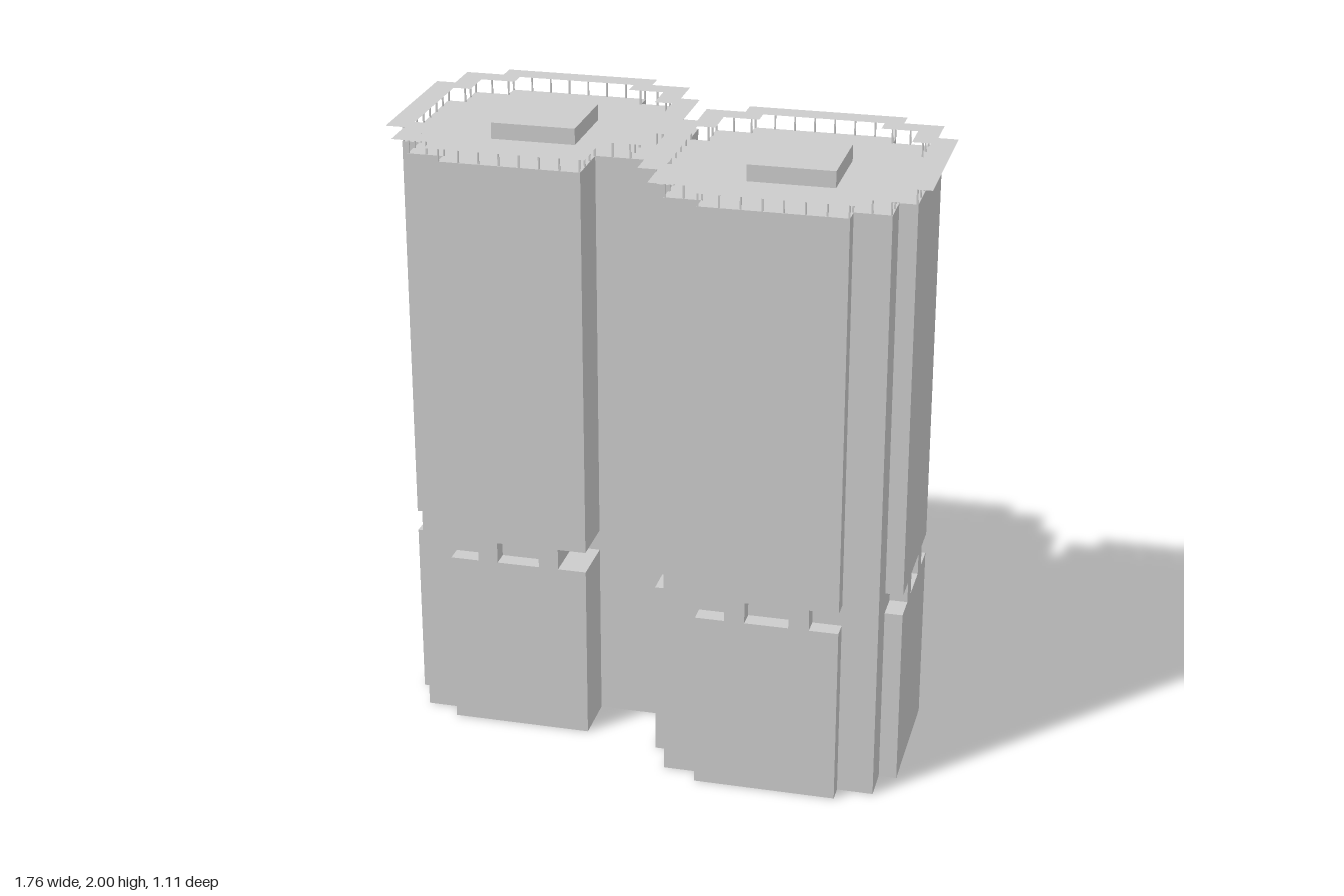
import * as THREE from 'three';

const mat = new THREE.MeshStandardMaterial({ color: 0xcccccc, side: THREE.DoubleSide, flatShading: true });
const CX = 0.436, CZ = 0.11;               // tower centres at +-(CX, CZ)
const SILL = 0.59, HEAD = 0.66, DECK = 1.945, TOP = 2;
const WALL = [0.228, 0.343, 0.4];          // half widths: bay, corner, bay face
const OUTER = [0.255, 0.382, 0.445];
const INNER = [0.195, 0.31, 0.368];
const PIER = [0.07, 0.135];                // piers standing in the open band

// local side coordinates (t along, d outwards) to plan (x, z); sides run front, right, back, left
const toPlan = (side, t, d) => [[t, d], [d, -t], [-t, -d], [-d, t]][side];

// stepped plan; piers = true gives the recessed band, notch cuts the front right corner deeper
function outline([s, m, d], notch, piers = false) {
  const pts = [], n = 2 * s - m;
  for (let side = 0; side < 4; side++) {
    const cutEnd = notch && side === 0, cutStart = notch && side === 1;
    const start = cutStart ? n : s, back = cutEnd ? s : m;
    let run;
    if (piers) {
      const [a, b] = PIER, b0 = Math.min(b, start);
      run = [[-b0, m], [-b0, d], [-a, d], [-a, m], [a, m], [a, d], [b, d], [b, back]];
    } else run = [[-start, m], [-start, d], [s, d], [s, back]];
    run.push([m, back]);
    run.forEach(([t, o]) => pts.push(toPlan(side, t, o)));
  }
  return pts;
}

function walls(pts, y0, y1) {
  const pos = [];
  pts.forEach(([x, z], i) => {
    const [u, w] = pts[(i + 1) % pts.length];
    pos.push(x, y0, z, u, y0, w, u, y1, w, x, y0, z, u, y1, w, x, y1, z);
  });
  const geo = new THREE.BufferGeometry();
  geo.setAttribute('position', new THREE.Float32BufferAttribute(pos, 3));
  geo.computeVertexNormals();
  return geo;
}

function slab(pts, y, hole) {
  const path = p => p.map(([x, z]) => new THREE.Vector2(x, -z));
  const shape = new THREE.Shape(path(pts));
  if (hole) shape.holes.push(new THREE.Path(path(hole)));
  return new THREE.ShapeGeometry(shape).rotateX(-Math.PI / 2).translate(0, y, 0);
}

function add(group, name, geo) {
  const mesh = new THREE.Mesh(geo, mat);
  mesh.name = name;
  group.add(mesh);
  return mesh;
}

function tower(name, notch) {
  const g = new THREE.Group();
  g.name = name;
  const plan = outline(WALL, notch);
  add(g, 'lowerWalls', walls(plan, 0, SILL));
  add(g, 'openBandWalls', walls(outline(WALL, notch, true), SILL, HEAD));
  add(g, 'upperWalls', walls(plan, HEAD, DECK));
  add(g, 'roofDeck', slab(plan, DECK));

  // sills and heads of the recesses
  const [s, m, d] = WALL, [a, b] = PIER;
  for (let side = 0; side < 4; side++) {
    [[-s, -b], [-a, a], [b, s]].forEach(([t0, t1], k) => {
      if (notch && side === 1 && k === 0) return;
      const back = notch && side === 0 && k === 2 ? s : m;
      const rect = [[t0, d], [t1, d], [t1, back], [t0, back]].map(([t, o]) => toPlan(side, t, o));
      add(g, 'recessSill', slab(rect, SILL));
      add(g, 'recessHead', slab(rect, HEAD));
    });
  }

  // roof canopy ring on thin posts
  add(g, 'canopy', slab(outline(OUTER, notch), TOP, outline(INNER, notch)));
  const post = new THREE.BoxGeometry(0.005, TOP - DECK, 0.005);
  plan.forEach(([x, z], i) => {
    const [u, w] = plan[(i + 1) % plan.length];
    const steps = Math.max(1, Math.round(Math.hypot(u - x, w - z) / 0.065));
    for (let k = 0; k < steps; k++) {
      const f = k / steps;
      add(g, 'canopyPost', post).position.set(
        (x + (u - x) * f) * 0.99, (TOP + DECK) / 2, (z + (w - z) * f) * 0.99);
    }
  });

  // roof housing
  add(g, 'roofHousing', new THREE.BoxGeometry(0.274, 0.053, 0.274)).position.y = DECK + 0.0265;
  return g;
}

export function createModel() {
  const model = new THREE.Group();
  model.name = 'twinTowers';
  const left = tower('leftTower', false);
  left.position.set(CX, 0, CZ);
  const right = tower('rightTower', true);
  right.position.set(-CX, 0, -CZ);
  model.add(left, right);

  // block joining the towers
  add(model, 'linkBlock', new THREE.BoxGeometry(0.13, DECK, 0.35)).position.set(-0.029, DECK / 2, -0.057);
  return model;
}
